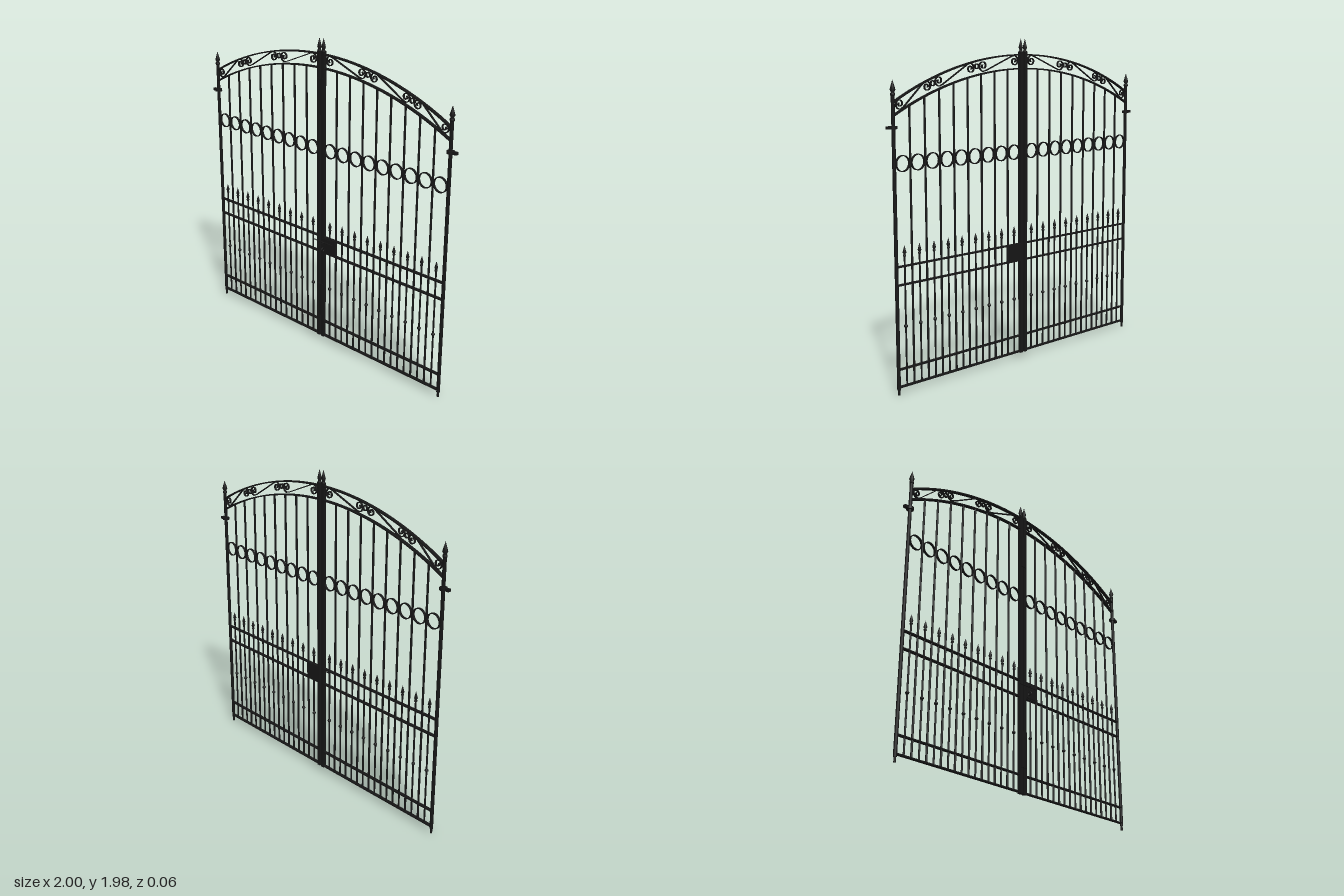
import * as THREE from 'three';

const Z = -0.01; // plane of the gate leaves

export function createModel() {
  const gate = new THREE.Group();
  gate.name = 'doubleGate';
  const iron = new THREE.MeshStandardMaterial({ color: 0x161616 });
  iron.name = 'black iron';

  const add = (name, geo, x, y, z = Z) => {
    const m = new THREE.Mesh(geo, iron);
    m.name = name;
    m.position.set(x, y, z);
    gate.add(m);
    return m;
  };
  const box = (name, x0, x1, y0, y1, d, z = Z) =>
    add(name, new THREE.BoxGeometry(Math.abs(x1 - x0), y1 - y0, d), (x0 + x1) / 2, (y0 + y1) / 2, z);
  const rod = (name, x, y0, y1, r, sides = 10) =>
    add(name, new THREE.CylinderGeometry(r, r, y1 - y0, sides), x, (y0 + y1) / 2);
  const lathe = (name, x, y, pts, sides = 10) =>
    add(name, new THREE.LatheGeometry(pts.map(p => new THREE.Vector2(p[0], p[1])), sides), x, y);

  // Flat iron strip of thickness t and depth d bent along a path in the XY plane
  const strip = (name, pts, t, d) => {
    const outer = [], inner = [];
    pts.forEach((p, i) => {
      const a = pts[Math.max(0, i - 1)], b = pts[Math.min(pts.length - 1, i + 1)];
      const n = new THREE.Vector2(a.y - b.y, b.x - a.x).normalize().multiplyScalar(t / 2);
      outer.push(new THREE.Vector2(p.x + n.x, p.y + n.y));
      inner.push(new THREE.Vector2(p.x - n.x, p.y - n.y));
    });
    const shape = new THREE.Shape([...outer, ...inner.reverse()]);
    return add(name, new THREE.ExtrudeGeometry(shape, { depth: d, bevelEnabled: false }), 0, 0, Z - d / 2);
  };

  // Flat hoop
  const hoop = (name, x, y, r, t, d) => {
    const shape = new THREE.Shape().absarc(0, 0, r + t / 2, 0, Math.PI * 2);
    shape.holes.push(new THREE.Path().absarc(0, 0, r - t / 2, 0, Math.PI * 2, true));
    add(name, new THREE.ExtrudeGeometry(shape, { depth: d, bevelEnabled: false, curveSegments: 20 }), x, y, Z - d / 2);
  };

  // S-scroll with a spiral at each end: over the top of a, under the bottom of b
  const scroll = (a, b, r) => {
    const u = b.clone().sub(a).normalize();
    const n = new THREE.Vector2(-u.y, u.x);
    if (n.y < 0) n.negate();
    const first = [], N = 26;
    for (let i = 0; i <= N; i++) {
      const k = i / N;
      const ang = Math.PI / 2 + (1 - k) * Math.PI * 2.9;
      const rad = r * (0.2 + 0.8 * k);
      first.push([Math.cos(ang) * rad, Math.sin(ang) * rad]);
    }
    const place = (c, p, s) => new THREE.Vector3(
      c.x + s * (u.x * p[0] + n.x * p[1]), c.y + s * (u.y * p[0] + n.y * p[1]), 0);
    const path = first.map(p => place(a, p, 1))
      .concat(first.map(p => place(b, p, -1)).reverse());
    strip('scroll', new THREE.CatmullRomCurve3(path).getPoints(150), 0.005, 0.012);
  };

  // Heights of the two arched rails at x
  const arch = (top, R) => x => top - R + Math.sqrt(R * R - x * x);
  const topArch = arch(1.882, 1.965), lowArch = arch(1.8, 2.04);

  const spear = [[0.004, 0], [0.009, 0.004], [0.009, 0.01], [0.005, 0.014], [0.011, 0.024], [0.006, 0.044], [0, 0.065]];
  const finial = [[0.01, 0], [0.014, 0.005], [0.014, 0.014], [0.009, 0.02], [0.016, 0.034], [0.009, 0.058], [0, 0.088]];
  const bead = [[0.004, -0.012], [0.011, -0.003], [0.011, 0.003], [0.004, 0.012]];

  for (const s of [1, -1]) {
    // Hinge post with foot, finial and upper hinge
    rod('hingePost', s * 0.956, 0.03, 1.67, 0.0105, 14);
    rod('hingePostFoot', s * 0.956, 0, 0.03, 0.007, 12);
    lathe('hingePostFinial', s * 0.956, 1.668, finial, 12);
    rod('hingeCollar', s * 0.956, 1.492, 1.508, 0.022, 18);
    box('hingeArm', s * 0.956, s * 1.0, 1.492, 1.508, 0.02);

    // Meeting stile
    box('meetingStile', s * 0.006, s * 0.028, 0.035, 1.9, 0.022);
    lathe('meetingStileFinial', s * 0.017, 1.89, finial.map(([r, y]) => [r * 0.85, y]), 12);

    // Straight rails
    for (const y of [0.045, 0.147, 0.629, 0.733])
      box('rail', s * 0.02, s * 0.955, y - 0.004, y + 0.004, 0.02);

    // Arched rails
    for (const f of [topArch, lowArch]) {
      const pts = [];
      for (let i = 0; i <= 24; i++) {
        const x = 0.02 + 0.935 * i / 24;
        pts.push(new THREE.Vector2(s * x, f(x)));
      }
      strip('archedRail', pts, 0.008, 0.022);
    }

    // Tall bars
    for (let i = 0; i < 8; i++) {
      const x = 0.125 + 0.1033 * i;
      rod('tallBar', s * x, 0.045, lowArch(x), 0.0065);
    }

    // Short spear bars and the hoops above them
    for (let i = 0; i < 9; i++) {
      const x = s * (0.073 + 0.1033 * i);
      rod('spearBar', x, 0.045, 0.795, 0.0055);
      lathe('spearHead', x, 0.785, spear);
      lathe('barBead', x, 0.39, bead);
      hoop('hoop', x, 1.302, 0.0435, 0.005, 0.014);
    }

    // Scrollwork between the arches
    const v = (x, y) => new THREE.Vector2(s * x, y);
    scroll(v(0.07, 1.846), v(0.316, 1.82), 0.032);
    scroll(v(0.412, 1.806), v(0.642, 1.742), 0.03);
    scroll(v(0.727, 1.713), v(0.912, 1.625), 0.03);
    hoop('scrollCollar', s * 0.364, 1.818, 0.014, 0.005, 0.012);
    hoop('scrollCollar', s * 0.685, 1.729, 0.014, 0.005, 0.012);
  }

  // Cover plates over the gap between the leaves
  box('upperCoverPlate', -0.024, 0.024, 1.52, 1.74, 0.004, 0.003);
  box('lowerCoverPlate', -0.024, 0.024, 0.19, 0.41, 0.004, 0.003);

  // Lock case, sliding bolt and pull
  box('lockCase', 0.02, 0.124, 0.629, 0.735, 0.024);
  box('lockFace', 0.026, 0.112, 0.634, 0.73, 0.004, 0.004);
  const bolt = add('slidingBolt', new THREE.CylinderGeometry(0.003, 0.003, 0.155, 8), 0.032, 0.705, 0.008);
  bolt.rotation.z = Math.PI / 2;
  const stub = add('boltKnob', new THREE.CylinderGeometry(0.003, 0.003, 0.024, 8), 0.038, 0.705, 0.016);
  stub.rotation.x = Math.PI / 2;
  const pull = add('pullRing', new THREE.TorusGeometry(0.012, 0.003, 8, 16), 0.038, 0.66, 0.017);
  pull.rotation.y = Math.PI / 2;

  return gate;
}
